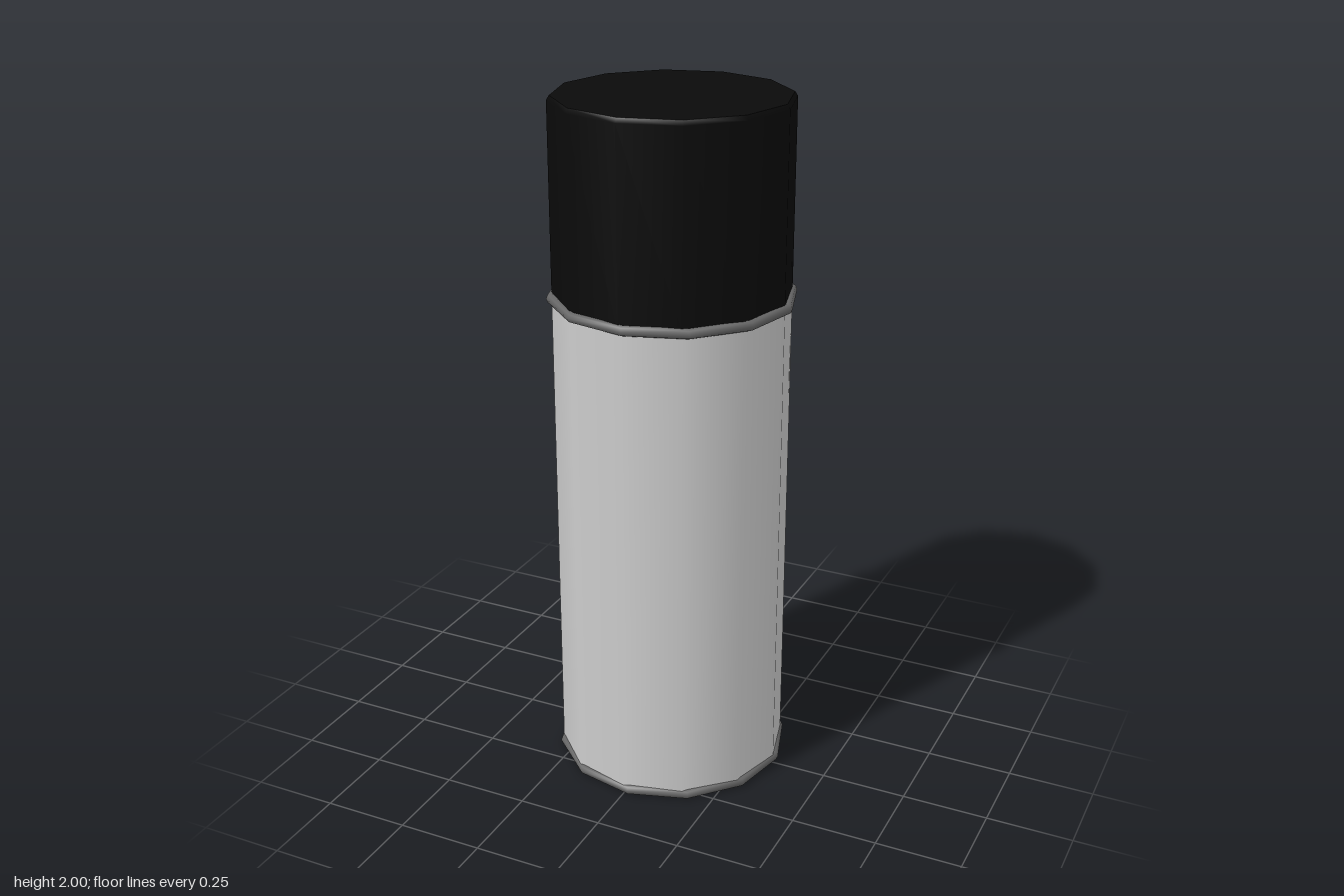
import * as THREE from 'three';

const SIDES = 12;
const RADIUS = 0.336;

function createMesh(name, geometry, color) {
  const mesh = new THREE.Mesh(geometry, new THREE.MeshStandardMaterial({ color }));
  mesh.name = name;
  return mesh;
}

// Smooth-shaded rim with a round section, turned slightly against the can
function createRim(name, y, outerRadius) {
  const tube = 0.015;
  const geometry = new THREE.TorusGeometry(outerRadius - tube, tube, 8, SIDES);
  geometry.rotateX(Math.PI / 2).rotateY(THREE.MathUtils.degToRad(2.5));
  geometry.translate(0, y, 0);
  return createMesh(name, geometry, 0x666666);
}

export function createModel() {
  const group = new THREE.Group();
  group.name = 'sprayCan';

  // Can body with closed ends
  const bodyBottom = 0.004, bodyTop = 1.445;
  const body = new THREE.CylinderGeometry(RADIUS, RADIUS, bodyTop - bodyBottom, SIDES);
  body.translate(0, (bodyTop + bodyBottom) / 2, 0);
  group.add(createMesh('canBody', body, 0xcccccc));

  // Black lid with a small bevel around its flat top
  const lidProfile = [
    [0, 1.44], [RADIUS, 1.44], [RADIUS, 1.44], [RADIUS, 1.987],
    [RADIUS - 0.008, 2], [RADIUS - 0.008, 2], [0, 2],
  ].map(([r, y]) => new THREE.Vector2(r, y));
  group.add(createMesh('lid', new THREE.LatheGeometry(lidProfile, SIDES), 0x0a0a0a));

  // Rims at the foot of the can and under the lid
  group.add(createRim('bottomRim', 0.015, 0.346));
  group.add(createRim('topRim', 1.442, 0.352));

  return group;
}
